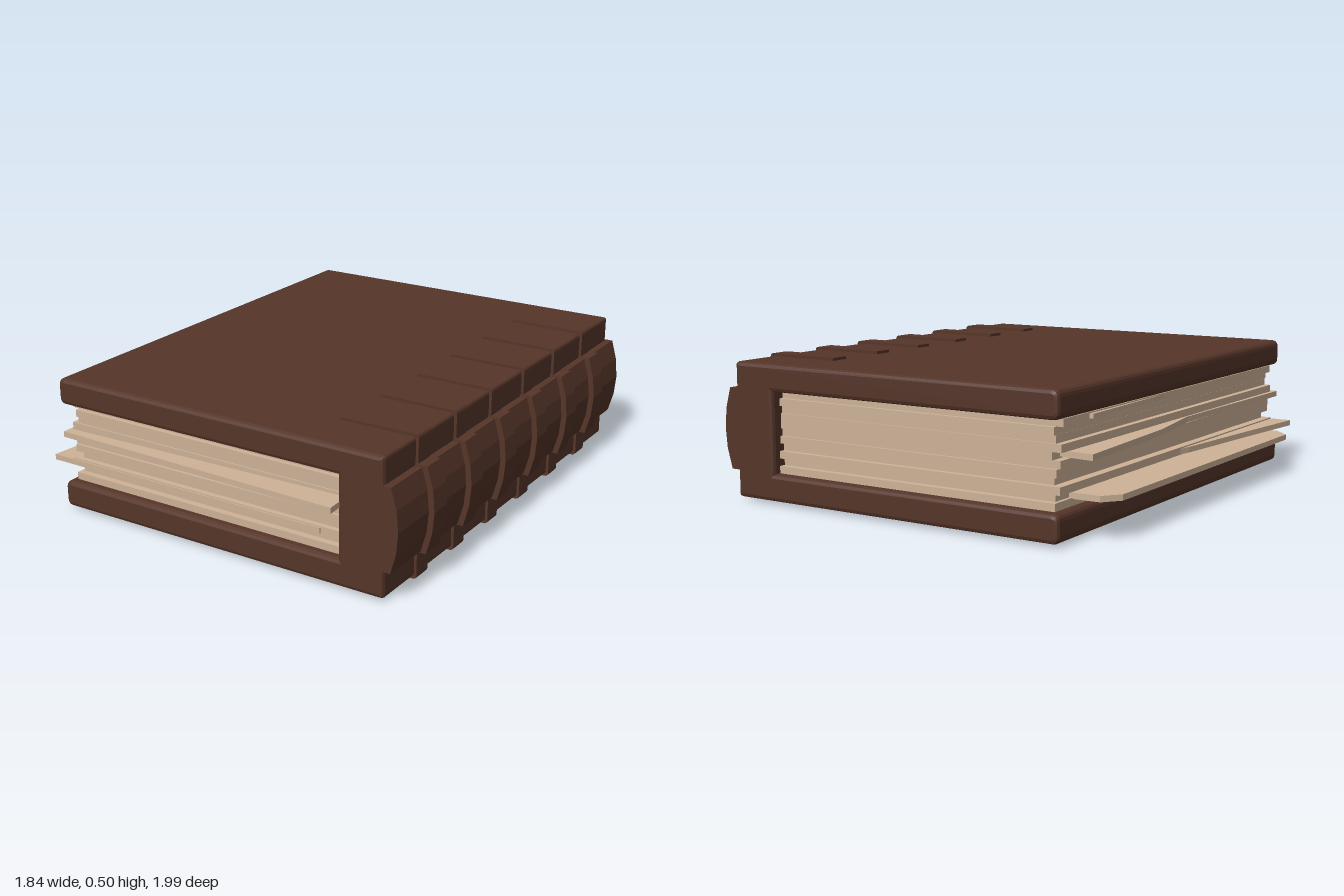
import * as THREE from 'three';

const leather = new THREE.MeshStandardMaterial({ color: 0x553529, flatShading: true });
const paper = new THREE.MeshStandardMaterial({ color: 0xcdb297, flatShading: true });

// Closed shape from [x, y, cornerRadius] points
function roundedShape(points) {
  const shape = new THREE.Shape();
  const n = points.length;
  points.forEach(([x, y, r = 0], i) => {
    const p = new THREE.Vector2(x, y);
    const toward = ([qx, qy]) => new THREE.Vector2(qx, qy).sub(p).setLength(r).add(p);
    const a = toward(points[(i + n - 1) % n]);
    const b = toward(points[(i + 1) % n]);
    if (i === 0) shape.moveTo(a.x, a.y);
    else shape.lineTo(a.x, a.y);
    if (r > 0) shape.quadraticCurveTo(x, y, b.x, b.y);
  });
  shape.closePath();
  return shape;
}

// Extrude centred on z = 0, with the bevel kept inside the outline
function extrude(shape, length, bevel = 0) {
  const geo = new THREE.ExtrudeGeometry(shape, {
    depth: length - 2 * bevel, curveSegments: 4, bevelEnabled: bevel > 0,
    bevelSize: bevel, bevelThickness: bevel, bevelOffset: -bevel, bevelSegments: 2,
  });
  return geo.translate(0, 0, -length / 2 + bevel);
}

function addMesh(parent, name, geo, mat) {
  const mesh = new THREE.Mesh(geo, mat);
  mesh.name = name;
  parent.add(mesh);
  return mesh;
}

// Flat sheet from a plan outline, top face at y
function addSheet(parent, name, outline, y, thickness = 0.02) {
  const geo = extrude(roundedShape(outline), thickness).rotateX(Math.PI / 2);
  const mesh = addMesh(parent, name, geo, paper);
  mesh.position.y = y;
  return mesh;
}

// Bulging back profile; reach is the furthest x, half is the half height
function bulgeShape(inner, shoulder, reach, half) {
  const mid = 0.25;
  const s = new THREE.Shape();
  s.moveTo(inner, mid - half);
  s.lineTo(shoulder, mid - half);
  s.quadraticCurveTo(2 * reach - shoulder, mid, shoulder, mid + half);
  s.lineTo(inner, mid + half);
  s.closePath();
  return s;
}

export function createModel() {
  const model = new THREE.Group();
  const book = new THREE.Group();
  book.name = 'book';
  book.rotation.y = 0.308;
  model.add(book);

  // Both boards and the back between them, one C-shaped section
  const cover = roundedShape([
    [-0.65, 0.01, 0.025], [0.65, 0.01, 0.012], [0.65, 0.485, 0.012], [-0.65, 0.485, 0.025],
    [-0.65, 0.39, 0.025], [0.485, 0.39], [0.485, 0.105], [-0.65, 0.105, 0.025],
  ]);
  addMesh(book, 'cover', extrude(cover, 1.66, 0.014), leather);
  addMesh(book, 'spine', extrude(bulgeShape(0.6, 0.676, 0.703, 0.143), 1.66), leather);

  // Six raised bands: a strap gripping both boards and a rib over the spine
  const strap = roundedShape([
    [0.372, 0], [0.66, 0, 0.015], [0.66, 0.495, 0.015], [0.372, 0.495],
    [0.372, 0.45], [0.6, 0.45], [0.6, 0.05], [0.372, 0.05],
  ]);
  const strapGeo = extrude(strap, 0.07);
  const ribGeo = extrude(bulgeShape(0.6, 0.695, 0.723, 0.149), 0.08);
  for (let i = 0; i < 6; i++) {
    const band = new THREE.Group();
    band.name = 'raisedBand';
    band.position.z = (i - 2.5) * 0.242;
    addMesh(band, 'strap', strapGeo, leather);
    addMesh(band, 'rib', ribGeo, leather);
    book.add(band);
  }

  // Page block of uneven gatherings
  const layers = 11;
  const step = 0.285 / layers;
  for (let i = 0; i < layers; i++) {
    const left = -0.62 + 0.018 * Math.sin(i * 2.4);
    const half = 0.785 + 0.012 * Math.cos(i * 2.9);
    const geo = new THREE.BoxGeometry(0.49 - left, step, half * 2);
    const mesh = addMesh(book, 'pages', geo, paper);
    mesh.position.set((0.49 + left) / 2, 0.105 + step * (i + 0.5), 0);
  }

  // Loose sheets slipping out
  addSheet(book, 'looseSheetLow', [
    [-0.763, -0.63], [-0.716, -0.69], [0.4, -0.72], [0.4, 0.74], [-0.7, 0.712], [-0.763, 0.65],
  ], 0.137);
  addSheet(book, 'looseSheetCorner', [
    [-0.718, 0.8], [-0.684, 0.465], [-0.647, 0.057], [-0.5, -0.7], [0.4, -0.7], [0.4, 0.8],
  ], 0.168);
  const skewed = addSheet(book, 'looseSheetMiddle', [
    [0.494, 0.88], [-0.65, 0.82], [-0.64, 0.05], [-0.685, -0.22], [-0.72, -0.743], [0.42, -0.72],
  ], 0.285);
  skewed.rotation.z = 0.015;
  addSheet(book, 'looseSheetTop', [
    [-0.65, -0.62], [0.4, -0.7], [0.4, 0.7], [-0.6, 0.7], [-0.64, -0.2],
  ], 0.378, 0.015);

  return model;
}
